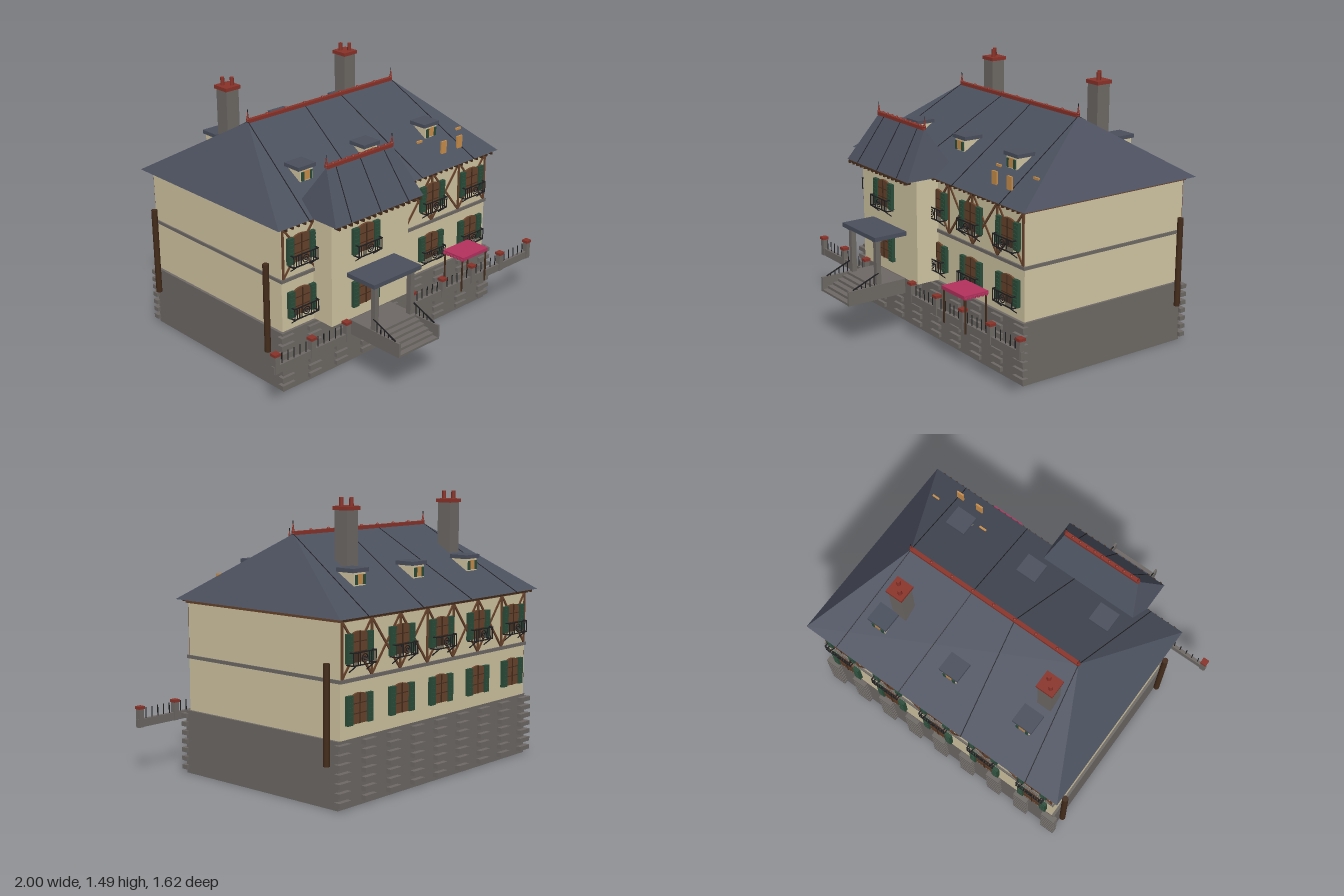
import * as THREE from 'three';

const mat = (name, color, side = THREE.FrontSide) => {
  const m = new THREE.MeshStandardMaterial({ color, side });
  m.name = name;
  return m;
};
const M = {
  slate: mat('slate', 0x4b505e), cream: mat('cream plaster', 0xd2c6a3), stone: mat('grey stone', 0x6e6965),
  red: mat('red clay', 0x8a3329), green: mat('shutter green', 0x2b4d3a), brown: mat('brown wood', 0x68432c),
  dark: mat('dark wood', 0x442c1b), pink: mat('awning pink', 0xb5325f), orange: mat('warm orange', 0xc98f4c),
  iron: mat('black iron', 0x202022),
};

const add = (parent, name, geo, m, x = 0, y = 0, z = 0) => {
  const mesh = new THREE.Mesh(geo, m);
  mesh.name = name;
  mesh.position.set(x, y, z);
  parent.add(mesh);
  return mesh;
};
// box given by its low and high limits on each axis
const box = (p, name, m, x0, x1, y0, y1, z0, z1) =>
  add(p, name, new THREE.BoxGeometry(x1 - x0, y1 - y0, z1 - z0), m, (x0 + x1) / 2, (y0 + y1) / 2, (z0 + z1) / 2);
// square bar between two points
const bar = (p, name, m, a, b, w, d = w) => {
  const A = new THREE.Vector3(...a), B = new THREE.Vector3(...b);
  const mesh = add(p, name, new THREE.BoxGeometry(w, A.distanceTo(B), d), m);
  mesh.position.copy(A).lerp(B, 0.5);
  mesh.quaternion.setFromUnitVectors(new THREE.Vector3(0, 1, 0), B.sub(A).normalize());
  return mesh;
};
const group = (p, name, x = 0, y = 0, z = 0, ry = 0) => {
  const g = new THREE.Group();
  g.name = name;
  g.position.set(x, y, z);
  g.rotation.y = ry;
  p.add(g);
  return g;
};

// closed hip roof with red ridge tiles and finials
function hipRoof(p, name, x0, x1, z0, z1, y0, y1, r0, r1, rz, knobs) {
  const g = group(p, name);
  const a = [x0, y0, z1], b = [x1, y0, z1], c = [x1, y0, z0], d = [x0, y0, z0], e = [r0, y1, rz], f = [r1, y1, rz];
  const tris = [a, b, f, a, f, e, b, c, f, c, d, e, c, e, f, d, a, e, a, d, c, a, c, b];
  const geo = new THREE.BufferGeometry();
  geo.setAttribute('position', new THREE.Float32BufferAttribute(tris.flat(), 3));
  geo.computeVertexNormals();
  add(g, 'roofSlopes', geo, M.slate);
  box(g, 'ridgeTiles', M.red, r0, r1, y1 - 0.006, y1 + 0.013, rz - 0.011, rz + 0.011);
  for (let i = 0; i <= knobs; i++)
    add(g, 'ridgeKnob', new THREE.SphereGeometry(0.009, 8, 6), M.red, r0 + (r1 - r0) * i / knobs, y1 + 0.013, rz);
  for (const x of [r0, r1]) {
    add(g, 'finial', new THREE.ConeGeometry(0.009, 0.07, 8), M.red, x, y1 + 0.035, rz);
    add(g, 'finialSpike', new THREE.CylinderGeometry(0.002, 0.003, 0.04, 6), M.iron, x, y1 + 0.048, rz);
  }
  return g;
}

// window with arched top and open shutters, facing +z
function windowUnit(p, x, y, z, ry) {
  const g = group(p, 'window', x, y, z, ry);
  const s = new THREE.Shape();
  s.moveTo(-0.055, 0);
  s.lineTo(0.055, 0);
  s.lineTo(0.055, 0.14);
  s.quadraticCurveTo(0, 0.165, -0.055, 0.14);
  add(g, 'casement', new THREE.ExtrudeGeometry(s, { depth: 0.012, bevelEnabled: false, curveSegments: 6 }), M.brown);
  box(g, 'mullion', M.dark, -0.003, 0.003, 0, 0.15, 0.011, 0.016);
  for (const h of [0.05, 0.1]) box(g, 'glazingBar', M.dark, -0.05, 0.05, h, h + 0.004, 0.011, 0.015);
  for (const k of [-1, 1]) {
    box(g, 'shutter', M.green, k * 0.075 - 0.02, k * 0.075 + 0.02, -0.002, 0.145, 0, 0.02);
    for (let i = 0; i < 6; i++)
      box(g, 'slat', M.green, k * 0.075 - 0.014, k * 0.075 + 0.014, 0.012 + i * 0.022, 0.022 + i * 0.022, 0.019, 0.024);
  }
}

// iron balcony with ring ornament and braces
function balcony(p, x, y, z, ry) {
  const g = group(p, 'balcony', x, y, z, ry);
  const w = 0.083, d = 0.047;
  for (const h of [0, 0.062]) {
    box(g, 'rail', M.iron, -w, w, h - 0.003, h + 0.003, d - 0.005, d);
    for (const k of [-w, w]) box(g, 'sideRail', M.iron, k - 0.003, k + 0.003, h - 0.003, h + 0.003, 0, d);
  }
  for (let i = 0; i <= 10; i++) {
    const bx = -w + i * w / 5;
    if (i < 4 || i > 6) box(g, 'baluster', M.iron, bx - 0.002, bx + 0.002, 0, 0.062, d - 0.004, d);
  }
  add(g, 'ring', new THREE.TorusGeometry(0.021, 0.003, 5, 16), M.iron, 0, 0.031, d - 0.002);
  add(g, 'innerRing', new THREE.TorusGeometry(0.009, 0.003, 5, 12), M.iron, 0, 0.031, d - 0.002);
  for (const k of [-0.065, 0.065]) bar(g, 'brace', M.iron, [k, 0, d], [k, -0.038, 0], 0.005);
}

// half-timbering: seven crossed panels between posts
function timbering(p, z) {
  const g = group(p, 'timberFrame');
  const y0 = 0.643, y1 = 0.925;
  for (let i = 0; i <= 7; i++) {
    const x = -0.77 + i * 0.22;
    box(g, 'post', M.brown, x - 0.006, x + 0.006, y0, y1, z - 0.005, z + 0.005);
    if (i === 7) continue;
    bar(g, 'diagonal', M.brown, [x, y0, z], [x + 0.22, y1, z], 0.011, 0.009);
    bar(g, 'diagonal', M.brown, [x, y1, z], [x + 0.22, y0, z], 0.011, 0.008);
  }
}

export function createModel() {
  const house = new THREE.Group();
  house.name = 'house';

  // stone base with rows of projecting blocks
  box(house, 'base', M.stone, -0.795, 0.795, 0, 0.343, -0.763, 0.326);
  for (const z of [0.326, -0.773])
    for (let r = 0; r < 7; r++)
      for (let c = 0; c < 9; c++) {
        const x = -0.77 + c * 0.1925, y = 0.022 + r * 0.047;
        box(house, 'baseBlock', M.stone, x - 0.044, x + 0.044, y, y + 0.024, z - 0.018, z + 0.018);
      }

  // walls, belt course and eaves beam
  box(house, 'walls', M.cream, -0.78, 0.78, 0.343, 0.945, -0.763, 0.31);
  box(house, 'bayWalls', M.cream, -0.56, 0, 0.345, 0.945, 0.2, 0.449);
  box(house, 'beltCourse', M.stone, -0.788, 0.788, 0.625, 0.643, -0.773, 0.32);
  box(house, 'eavesBeam', M.brown, -0.79, 0.79, 0.922, 0.938, -0.775, 0.322);
  timbering(house, 0.312);
  timbering(house, -0.765);

  // roofs with thin standing seams
  hipRoof(house, 'mainRoof', -0.83, 0.83, -0.81, 0.357, 0.942, 1.3, -0.535, 0.535, -0.222, 8);
  hipRoof(house, 'bayRoof', -0.6, 0.033, 0.2, 0.525, 0.942, 1.2, -0.513, -0.045, 0.363, 10);
  for (const [e, r] of [[-0.626, -0.535], [-0.209, -0.134], [0.203, 0.134], [0.626, 0.535]])
    for (const z of [-0.81, 0.357]) bar(house, 'roofSeam', M.iron, [e, 0.943, z], [r, 1.3, -0.222], 0.004);
  for (const [e, r] of [[-0.49, -0.45], [-0.283, -0.28], [-0.08, -0.11]])
    bar(house, 'bayRoofSeam', M.iron, [e, 0.943, 0.525], [r, 1.2, 0.363], 0.004);
  for (let i = 0; i < 15; i++) {
    const x = -0.575 + i * 0.0415;
    box(house, 'rafterTail', M.dark, x - 0.006, x + 0.006, 0.925, 0.941, 0.49, 0.53);
  }
  for (let i = 0; i < 38; i++) {
    const x = -0.78 + i * 0.0421;
    for (const z of [0.34, -0.785])
      box(house, 'mainRafterTail', M.dark, x - 0.005, x + 0.005, 0.929, 0.942, z - 0.02, z + 0.02);
  }

  // chimneys
  for (const [x, z] of [[-0.5, -0.43], [0.405, -0.47]]) {
    const g = group(house, 'chimney', x, 0, z);
    box(g, 'stack', M.stone, -0.042, 0.042, 1.05, 1.43, -0.042, 0.042);
    box(g, 'cap', M.red, -0.05, 0.05, 1.427, 1.447, -0.05, 0.05);
    for (const k of [-0.018, 0.018]) 
      add(g, 'pot', new THREE.CylinderGeometry(0.011, 0.012, 0.045, 10), M.red, k, 1.468, k);
  }

  // dormers on both slopes
  for (const x of [-0.47, 0, 0.47])
    for (const [z, ry] of [[0.113, 0], [-0.567, Math.PI]]) {
      const g = group(house, 'dormer', x, 0, z, ry);
      box(g, 'dormerWalls', M.cream, -0.045, 0.045, 1.05, 1.128, -0.05, 0.05);
      box(g, 'dormerRoof', M.slate, -0.06, 0.06, 1.127, 1.148, -0.056, 0.058);
      box(g, 'dormerPane', M.orange, -0.022, 0.022, 1.068, 1.118, 0.05, 0.054);
      for (const k of [-0.029, 0.029]) box(g, 'dormerShutter', M.green, k - 0.008, k + 0.008, 1.066, 1.115, 0.05, 0.058);
    }
  // small upright roof panels
  for (const [x, z] of [[0.37, 0.172], [0.465, 0.268], [0.595, 0.268], [0.69, 0.172]])
    box(house, 'roofPanel', M.orange, x - 0.021, x + 0.021, 0.99, 1.066, z - 0.005, z + 0.005);

  // windows and balconies
  for (const x of [-0.65, -0.325, 0, 0.325, 0.65]) {
    const z = x === -0.325 ? 0.449 : 0.31;
    windowUnit(house, x, 0.718, z, 0);
    windowUnit(house, x, 0.415, z, 0);
    balcony(house, x, 0.71, z, 0);
    if (x !== -0.325) balcony(house, x, 0.412, z, 0);
    windowUnit(house, x, 0.718, -0.763, Math.PI);
    windowUnit(house, x, 0.415, -0.763, Math.PI);
    balcony(house, x, 0.71, -0.763, Math.PI);
  }

  // corner poles
  for (const [x, z] of [[0.824, -0.714], [-0.824, -0.714], [-0.824, 0.24]])
    add(house, 'cornerPole', new THREE.CylinderGeometry(0.017, 0.017, 0.505, 12), M.dark, x, 0.4725, z);

  // porch: landing, steps, handrails, columns and canopy
  const porch = group(house, 'porch', -0.28);
  box(porch, 'landing', M.stone, -0.15, 0.15, 0.258, 0.342, 0.449, 0.65);
  for (let i = 0; i < 5; i++)
    box(porch, 'step', M.stone, -0.14, 0.14, 0.258, 0.328 - i * 0.0145, 0.65 + i * 0.032, 0.682 + i * 0.032);
  for (const k of [-0.145, 0.145]) {
    box(porch, 'stairCheek', M.stone, k - 0.006, k + 0.006, 0.258, 0.34, 0.65, 0.812);
    bar(porch, 'handrail', M.iron, [k, 0.342, 0.78], [k, 0.408, 0.618], 0.006);
    for (let i = 0; i < 5; i++) {
      const t = i / 5;
      bar(porch, 'railPost', M.iron, [k, 0.335, 0.755 - t * 0.137], [k, 0.352 + t * 0.056, 0.755 - t * 0.137], 0.004);
    }
    const cx = Math.sign(k) * 0.132;
    box(porch, 'column', M.stone, cx - 0.014, cx + 0.014, 0.342, 0.602, 0.6, 0.63);
    box(porch, 'columnHead', M.stone, cx - 0.019, cx + 0.019, 0.585, 0.602, 0.595, 0.635);
  }
  box(porch, 'canopy', M.slate, -0.174, 0.174, 0.6, 0.624, 0.45, 0.652);

  // garden wall with capped piers and pickets
  box(house, 'lowWall', M.stone, -1, -0.48, 0.256, 0.3, 0.477, 0.497);
  box(house, 'lowWall', M.stone, -0.015, 1, 0.256, 0.3, 0.477, 0.497);
  for (let i = -4; i <= 4; i++) {
    if (i === -1) continue;
    const x = i * 0.245;
    box(house, 'pier', M.stone, x - 0.015, x + 0.015, 0.256, 0.356, 0.472, 0.502);
    box(house, 'pierCap', M.red, x - 0.019, x + 0.019, 0.355, 0.37, 0.468, 0.506);
    if (i === -2 || i === 4) continue;
    for (let k = 1; k <= 5; k++)
      add(house, 'picket', new THREE.CylinderGeometry(0.003, 0.003, 0.06, 6), M.iron, x + k * 0.0408, 0.328, 0.487);
  }

  // pink awning on four legs, with scalloped sides
  const awning = group(house, 'awning', 0.465, 0, 0.458);
  box(awning, 'awningTop', M.pink, -0.103, 0.103, 0.448, 0.468, -0.076, 0.076);
  for (const sx of [-1, 1]) {
    for (let i = 0; i < 6; i++)
      add(awning, 'scallop', new THREE.CylinderGeometry(0.008, 0.008, 0.012, 10), M.pink, sx * 0.103, 0.453, -0.065 + i * 0.026);
    for (const sz of [-1, 1])
      add(awning, 'awningLeg', new THREE.CylinderGeometry(0.005, 0.005, 0.192, 8), M.dark, sx * 0.098, 0.354, sz * 0.065);
  }
  return house;
}
